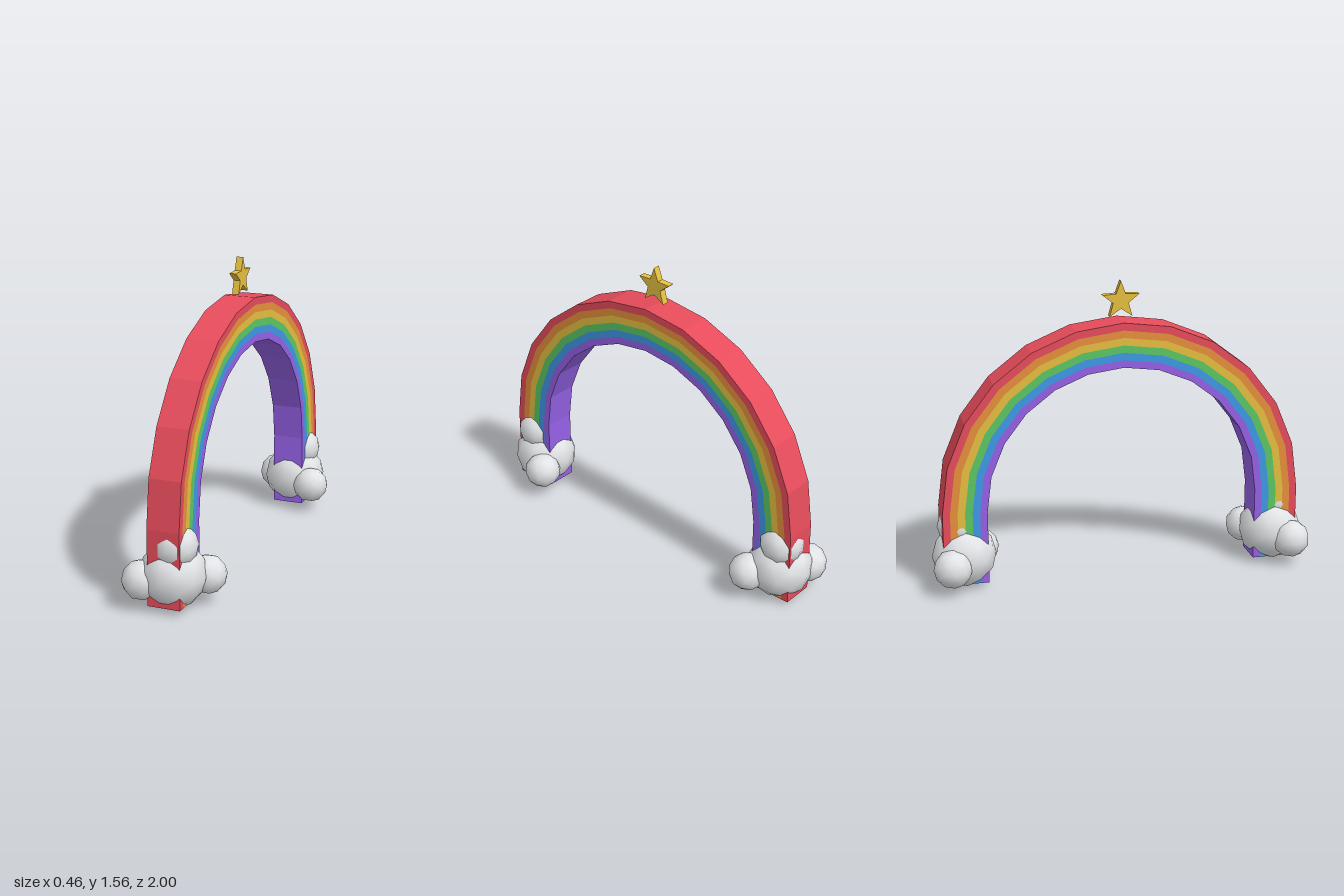
import * as THREE from 'three';

const mat = (name, color) => {
  const m = new THREE.MeshStandardMaterial({ color });
  m.name = name;
  return m;
};

// Extrudes a profile drawn in the z-y plane, centred across x
function sidePlate(name, points, width, material) {
  const shape = new THREE.Shape(points);
  const geo = new THREE.ExtrudeGeometry(shape, { depth: width, bevelEnabled: false });
  geo.translate(0, 0, -width / 2).rotateY(-Math.PI / 2);
  const mesh = new THREE.Mesh(geo, material);
  mesh.name = name;
  return mesh;
}

export function createModel() {
  const model = new THREE.Group();
  model.name = 'rainbow';

  const yellow = mat('yellow', 0xedc542);
  const cloudWhite = mat('cloud white', 0xf0f2f5);
  const bands = [
    mat('red', 0xf25060), mat('orange', 0xf0963f), yellow,
    mat('green', 0x5cc764), mat('blue', 0x409ff0), mat('purple', 0x9662e8),
  ];

  // Arch: six nested bands, each a half ring with straight legs
  const outer = 0.94, inner = 0.71, centreY = 0.42, footY = 0.035, segments = 12;
  const step = (outer - inner) / bands.length;
  const arc = (r) => {
    const pts = [new THREE.Vector2(r, footY)];
    for (let i = 0; i <= segments; i++) {
      const a = (i / segments) * Math.PI;
      pts.push(new THREE.Vector2(r * Math.cos(a), centreY + r * Math.sin(a)));
    }
    pts.push(new THREE.Vector2(-r, footY));
    return pts;
  };
  const arch = new THREE.Group();
  arch.name = 'arch';
  bands.forEach((material, i) => {
    const r = outer - i * step;
    const profile = [...arc(r), ...arc(r - step).reverse()];
    arch.add(sidePlate(`${material.name}Band`, profile, 0.168, material));
  });
  model.add(arch);

  // Star floating above the arch
  const starPoints = [];
  for (let i = 0; i < 10; i++) {
    const r = i % 2 ? 0.042 : 0.1;
    const a = Math.PI / 2 + (i * Math.PI) / 5;
    starPoints.push(new THREE.Vector2(r * Math.cos(a), 1.46 + r * Math.sin(a)));
  }
  model.add(sidePlate('star', starPoints, 0.036, yellow));

  // Clouds around both feet, mirrored front to back: x, y, z, radius
  const puffs = [
    ['mainPuff', 0, 0.17, 0.825, 0.167],
    ['topPuff', 0.022, 0.324, 0.846, 0.113],
    ['rightPuff', -0.132, 0.147, 0.9, 0.1],
    ['leftPuff', 0.132, 0.15, 0.722, 0.097],
  ];
  for (const [name, side] of [['frontCloud', 1], ['backCloud', -1]]) {
    const cloud = new THREE.Group();
    cloud.name = name;
    for (const [puffName, x, y, z, r] of puffs) {
      const puff = new THREE.Mesh(new THREE.IcosahedronGeometry(r, 1), cloudWhite);
      puff.name = puffName;
      puff.position.set(x, y, z * side);
      cloud.add(puff);
    }
    model.add(cloud);
  }

  return model;
}
